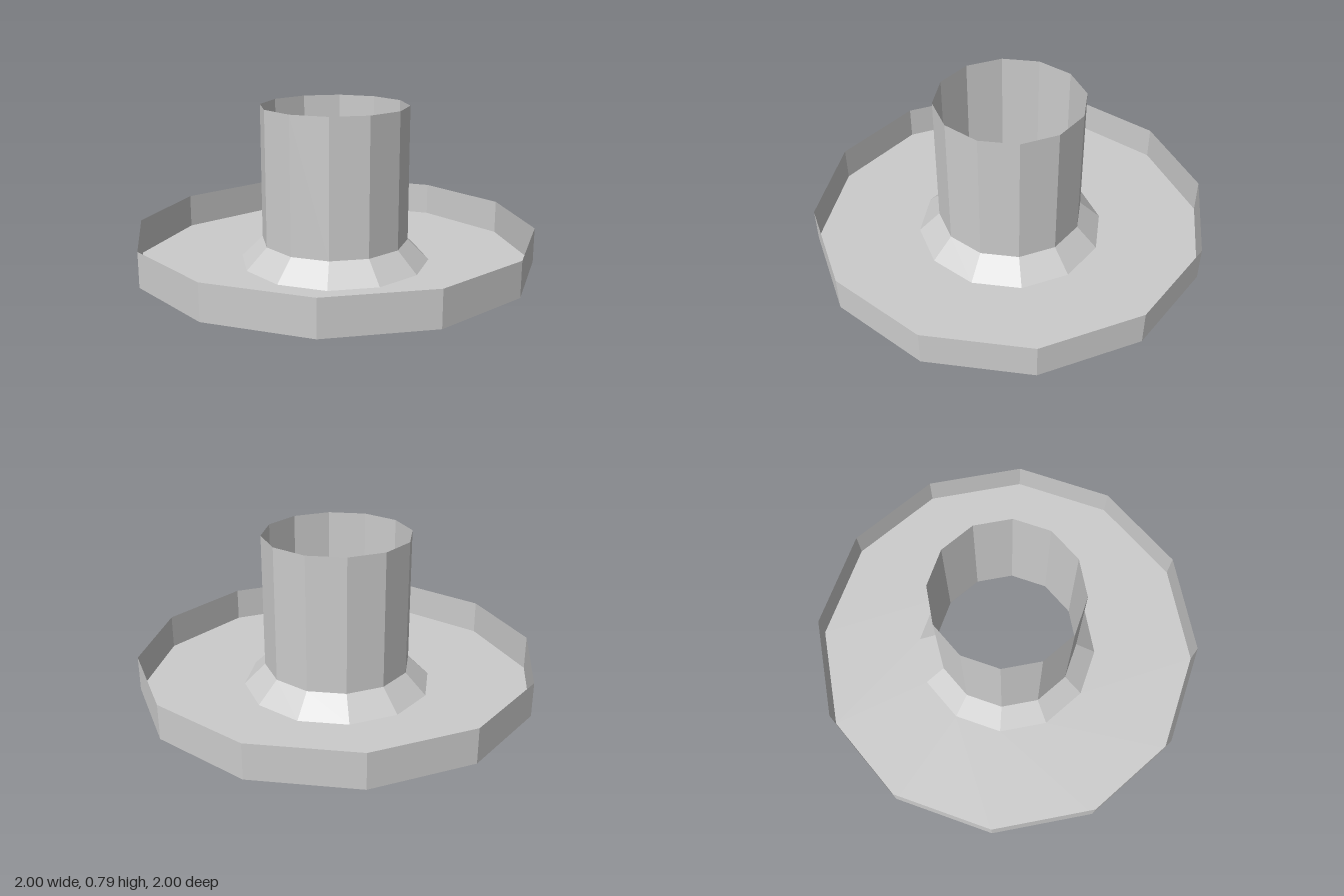
import * as THREE from 'three';

const SIDES = 12;
const material = new THREE.MeshStandardMaterial({
  color: 0xcccccc,
  flatShading: true,
  side: THREE.DoubleSide,
});

// Thin faceted ring swept between two [radius, height] points
function ring(name, from, to) {
  const profile = [from, to].map(([r, y]) => new THREE.Vector2(r, y));
  const geometry = new THREE.LatheGeometry(profile, SIDES).toNonIndexed();
  geometry.computeVertexNormals();
  const mesh = new THREE.Mesh(geometry, material);
  mesh.name = name;
  return mesh;
}

export function createModel() {
  const model = new THREE.Group();
  model.name = 'flangedTube';

  const rimRadius = 1, rimTop = 0.175;
  const holeRadius = 0.477;
  const tubeRadius = 0.37, tubeBottom = 0.105, tubeTop = 0.785;

  model.add(
    // Upright outer wall of the dish
    ring('rim', [rimRadius, 0], [rimRadius, rimTop]),
    // Flat floor with a central hole
    ring('plate', [rimRadius, 0], [holeRadius, 0]),
    // Sloped collar joining floor and tube
    ring('collar', [holeRadius, 0], [tubeRadius, tubeBottom]),
    // Open-ended centre tube
    ring('tube', [tubeRadius, tubeBottom], [tubeRadius, tubeTop]),
  );
  return model;
}
